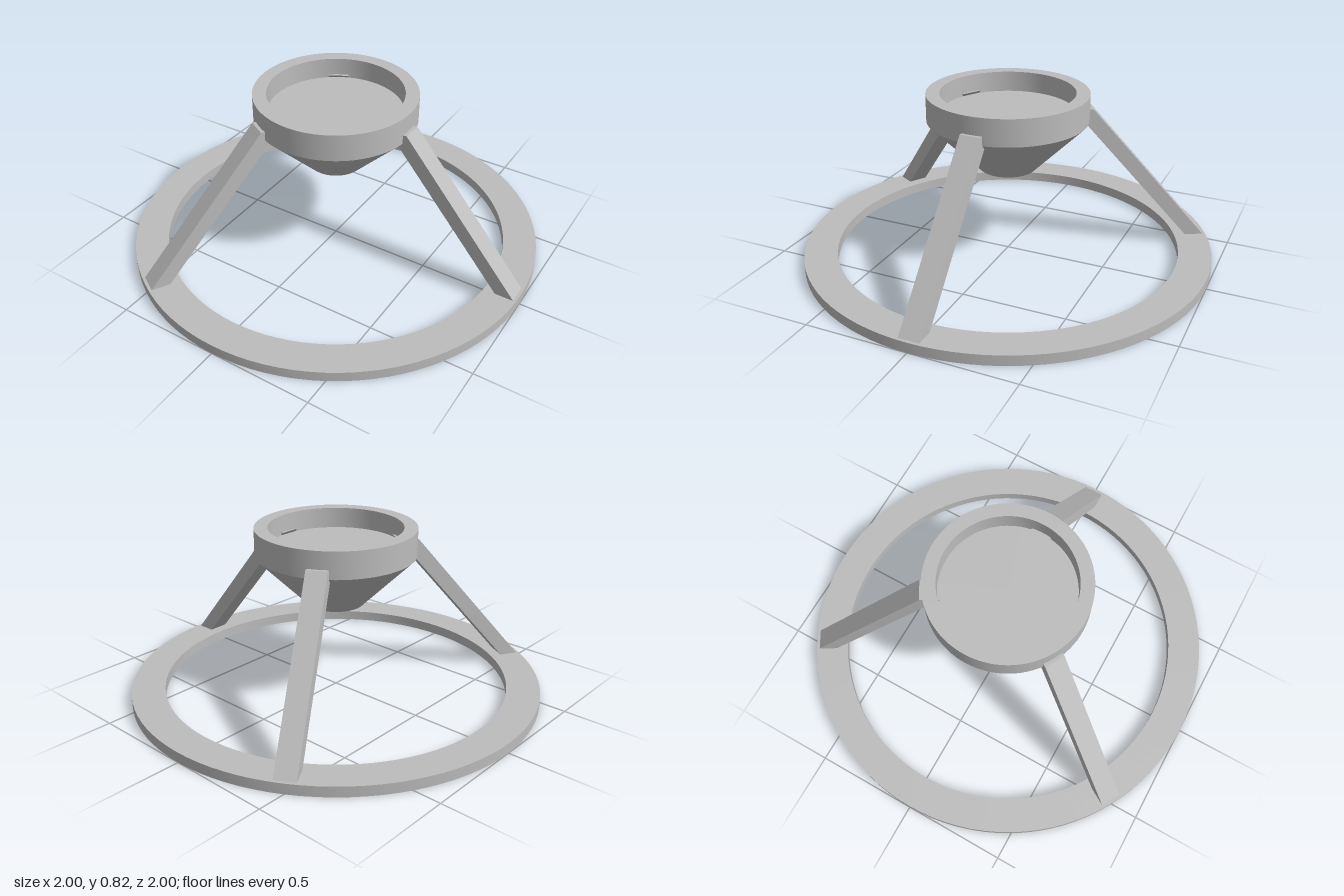
import * as THREE from 'three';
import { toCreasedNormals } from 'three/addons/utils/BufferGeometryUtils.js';

const grey = new THREE.MeshStandardMaterial({ color: 0xbcbcbc });
grey.name = 'grey';

function part(name, geometry) {
  const mesh = new THREE.Mesh(geometry, grey);
  mesh.name = name;
  return mesh;
}

// Turned solid with sharp rims; profile runs bottom, outside, top, inside
function turned(name, profile) {
  const points = profile.map(([r, y]) => new THREE.Vector2(r, y));
  return part(name, toCreasedNormals(new THREE.LatheGeometry(points, 96), 0.5));
}

export function createModel() {
  const model = new THREE.Group();
  model.name = 'ringStand';

  // Flat ring on the ground
  model.add(turned('baseRing', [[0.84, 0], [1, 0], [1, 0.05], [0.84, 0.05], [0.84, 0]]));

  // Shallow cup with a tapered underside
  model.add(turned('cup', [
    [0, 0.44], [0.135, 0.44], [0.385, 0.69], [0.385, 0.82],
    [0.32, 0.82], [0.32, 0.72], [0, 0.72],
  ]));

  // Three slanted legs, cut level at the top and just breaking through the cup wall
  const outline = new THREE.Shape([
    new THREE.Vector2(0.895, 0.05),
    new THREE.Vector2(0.985, 0.05),
    new THREE.Vector2(0.4, 0.735),
    new THREE.Vector2(0.305, 0.735),
  ]);
  const legGeometry = new THREE.ExtrudeGeometry(outline, { depth: 0.1, bevelEnabled: false });
  legGeometry.translate(0, 0, -0.05);
  ['leftLeg', 'backRightLeg', 'frontRightLeg'].forEach((name, i) => {
    const leg = part(name, legGeometry);
    leg.rotation.y = (i * Math.PI * 2) / 3;
    model.add(leg);
  });

  return model;
}
